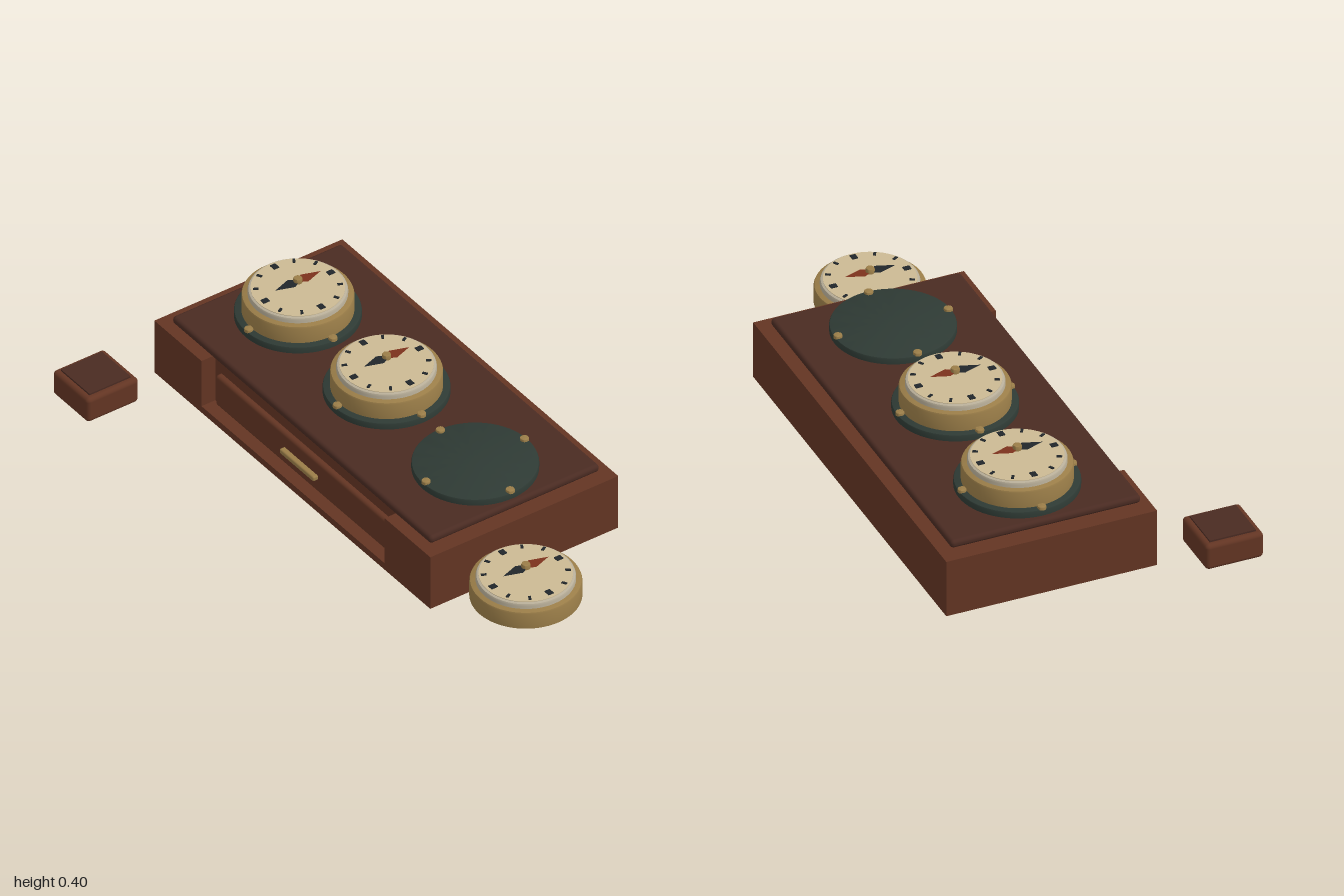
import * as THREE from 'three';
import { toCreasedNormals } from 'three/addons/utils/BufferGeometryUtils.js';
import { RoundedBoxGeometry } from 'three/addons/geometries/RoundedBoxGeometry.js';

const material = (name, color, side = THREE.FrontSide) => {
  const m = new THREE.MeshStandardMaterial({ color, side });
  m.name = name;
  return m;
};

export function createModel() {
  const wood = material('reddish wood', 0x633523);
  const darkWood = material('dark wood', 0x4a2b22);
  const green = material('dark green', 0x2e3a34);
  const brass = material('brass', 0x9a7d48);
  const cream = material('dial cream', 0xcbb993);
  const ivory = material('dial rim', 0xb8ae98);
  const ink = material('dark ink', 0x20262a, THREE.DoubleSide);
  const red = material('needle red', 0x7c321c, THREE.DoubleSide);

  const model = new THREE.Group();
  model.name = 'compassConsole';

  const add = (parent, name, geometry, mat, x = 0, y = 0, z = 0) => {
    const mesh = new THREE.Mesh(geometry, mat);
    mesh.name = name;
    mesh.position.set(x, y, z);
    parent.add(mesh);
    return mesh;
  };

  // Box from its limits on each axis, rounded if r > 0
  const box = (name, mat, [x0, x1], [y0, y1], [z0, z1], r = 0) => {
    const size = [x1 - x0, y1 - y0, z1 - z0];
    const geometry = r ? new RoundedBoxGeometry(...size, 3, r) : new THREE.BoxGeometry(...size);
    return add(model, name, geometry, mat, (x0 + x1) / 2, (y0 + y1) / 2, (z0 + z1) / 2);
  };

  // Closed turned solid with a chamfered top edge
  const disc = (radius, height, bevel) => toCreasedNormals(new THREE.LatheGeometry([
    [0, 0], [radius, 0], [radius, height - bevel],
    [radius - bevel * 0.3, height - bevel * 0.3], [radius - bevel, height], [0, height],
  ].map(([x, y]) => new THREE.Vector2(x, y)), 64), 0.6);

  // Cabinet with a shallow bay in the front
  box('cabinetBody', wood, [-0.9, 0.64], [0, 0.21], [-0.54, 0.15]);
  box('rightFrontPost', wood, [-0.9, -0.637], [0, 0.21], [0.15, 0.205]);
  box('leftFrontPost', wood, [0.385, 0.64], [0, 0.21], [0.15, 0.205]);
  box('baySill', wood, [-0.637, 0.385], [0, 0.026], [0.15, 0.205]);

  // Drawer and its pull
  box('drawerFront', wood, [-0.61, 0.355], [0.035, 0.157], [0.13, 0.171], 0.012);
  box('drawerPull', brass, [-0.225, -0.035], [0.086, 0.105], [0.165, 0.19], 0.006);

  // Top panel
  box('topPanel', darkWood, [-0.85, 0.595], [0.217, 0.246], [-0.5, 0.172], 0.013);

  // Needle half: a flat kite lying on the dial plane
  const needleHalf = (dir) => {
    const shape = new THREE.Shape();
    shape.moveTo(-0.008, 0);
    shape.lineTo(-0.022, dir * 0.026);
    shape.lineTo(0, dir * 0.09);
    shape.lineTo(0.022, dir * 0.026);
    shape.lineTo(0.008, 0);
    return new THREE.ShapeGeometry(shape).rotateX(-Math.PI / 2);
  };

  const compass = (name, x, y, z) => {
    const group = new THREE.Group();
    group.name = name;
    group.position.set(x, y, z);
    add(group, 'compassCase', disc(0.183, 0.065, 0.008), brass);
    add(group, 'dialRim', disc(0.163, 0.02, 0.01), ivory, 0, 0.065, 0);
    add(group, 'dialFace', new THREE.CylinderGeometry(0.153, 0.153, 0.003, 64), cream, 0, 0.0855, 0);

    // Plain marks, wider at the four main points
    for (let i = 0; i < 12; i++) {
      const main = i % 3 === 0;
      const pivot = new THREE.Group();
      pivot.name = 'dialMark';
      pivot.rotation.y = i * Math.PI / 6;
      const size = main ? [0.02, 0.003, 0.024] : [0.009, 0.003, 0.018];
      add(pivot, 'mark', new THREE.BoxGeometry(...size), ink, 0, 0.09, main ? 0.13 : 0.137);
      group.add(pivot);
    }

    add(group, 'northNeedle', needleHalf(1), red, 0, 0.113, 0);
    add(group, 'southNeedle', needleHalf(-1), ink, 0, 0.113, 0);
    add(group, 'needleCap', disc(0.015, 0.018, 0.005), brass, 0, 0.109, 0);
    model.add(group);
  };

  // Round mounts, each held by four brass screws
  const mountX = [-0.62, -0.125, 0.37], mountZ = -0.165;
  for (const x of mountX) {
    add(model, 'compassMount', disc(0.207, 0.026, 0.006), green, x, 0.244, mountZ);
    for (let i = 0; i < 4; i++) {
      const a = i * Math.PI / 2;
      add(model, 'mountScrew', disc(0.015, 0.012, 0.004), brass,
        x + 0.195 * Math.cos(a), 0.267, mountZ + 0.195 * Math.sin(a));
    }
  }

  // Two mounted compasses and one resting beside the cabinet
  compass('rightCompass', mountX[0], 0.27, mountZ);
  compass('middleCompass', mountX[1], 0.27, mountZ);
  compass('looseCompass', 0.817, 0.058, -0.048);

  // Small separate block with a dark inlaid top
  box('smallBlock', wood, [-1, -0.8], [0, 0.095], [0.335, 0.54], 0.015);
  box('blockInlay', darkWood, [-0.98, -0.82], [0.094, 0.101], [0.356, 0.519]);

  return model;
}
